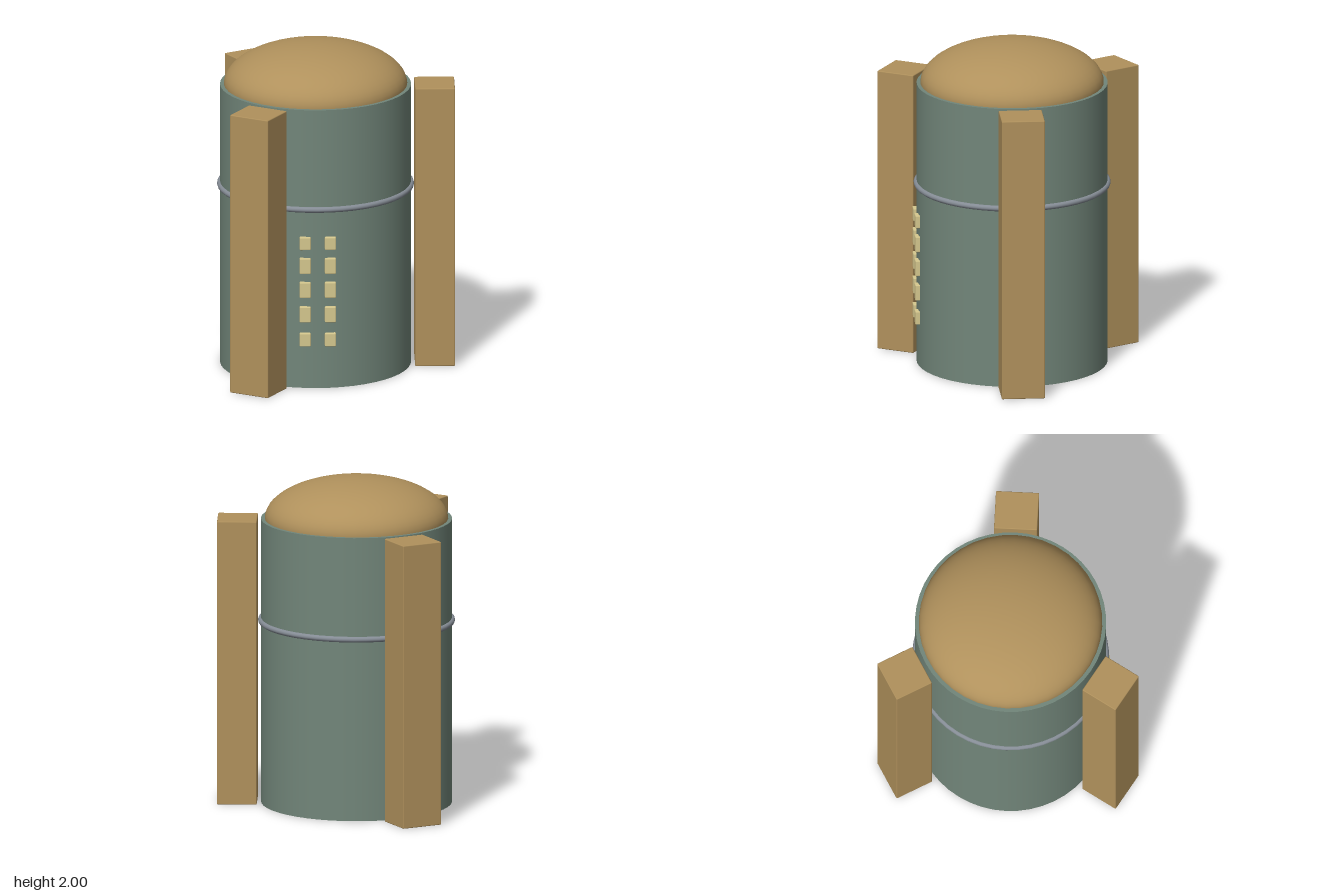
import * as THREE from 'three';
import { RoundedBoxGeometry } from 'three/addons/geometries/RoundedBoxGeometry.js';

const material = (name, color) => {
  const m = new THREE.MeshStandardMaterial({ color });
  m.name = name;
  return m;
};

export function createModel() {
  const green = material('grey green', 0x72867a);
  const ochre = material('ochre', 0xb0915c);
  const grey = material('steel grey', 0x868d96);
  const cream = material('pale yellow', 0xd6c88e);

  const model = new THREE.Group();
  model.name = 'tower';
  // the tower axis is offset so that the three pillars centre the whole
  const tower = new THREE.Group();
  tower.name = 'towerParts';
  tower.position.x = -0.123;
  model.add(tower);

  const add = (name, geometry, mat, parent = tower) => {
    const mesh = new THREE.Mesh(geometry, mat);
    mesh.name = name;
    parent.add(mesh);
    return mesh;
  };

  const height = 1.75;
  const radius = 0.578;

  // drum
  add('body', new THREE.CylinderGeometry(radius, radius, height, 48), green).position.y = height / 2;

  // flattened half-sphere roof
  const dome = add('dome', new THREE.SphereGeometry(0.555, 40, 16, 0, Math.PI * 2, 0, Math.PI / 2), ochre);
  dome.position.y = height;
  dome.scale.y = 0.25 / 0.555;

  // ring around the drum
  const ring = add('ring', new THREE.TorusGeometry(radius, 0.018, 10, 48), grey);
  ring.rotation.x = Math.PI / 2;
  ring.position.y = 1.123;

  // three pillars, 120 degrees apart
  for (let i = 0; i < 3; i++) {
    const arm = new THREE.Group();
    arm.name = 'pillarArm';
    arm.rotation.y = (i * Math.PI * 2) / 3;
    tower.add(arm);
    const pillar = add('pillar', new RoundedBoxGeometry(0.241, height, 0.262, 1, 0.006), ochre, arm);
    pillar.position.set(0.72, height / 2, 0);
  }

  // two columns of small windows on the front
  const rows = [[0.307, 0.083], [0.466, 0.098], [0.62, 0.098], [0.771, 0.098], [0.913, 0.08]];
  for (const [y, h] of rows) {
    for (const side of [-1, 1]) {
      const pane = add('window', new RoundedBoxGeometry(0.068, h, 0.05, 1, 0.006), cream);
      pane.position.set(side * 0.076, y, 0.571);
    }
  }
  return model;
}
